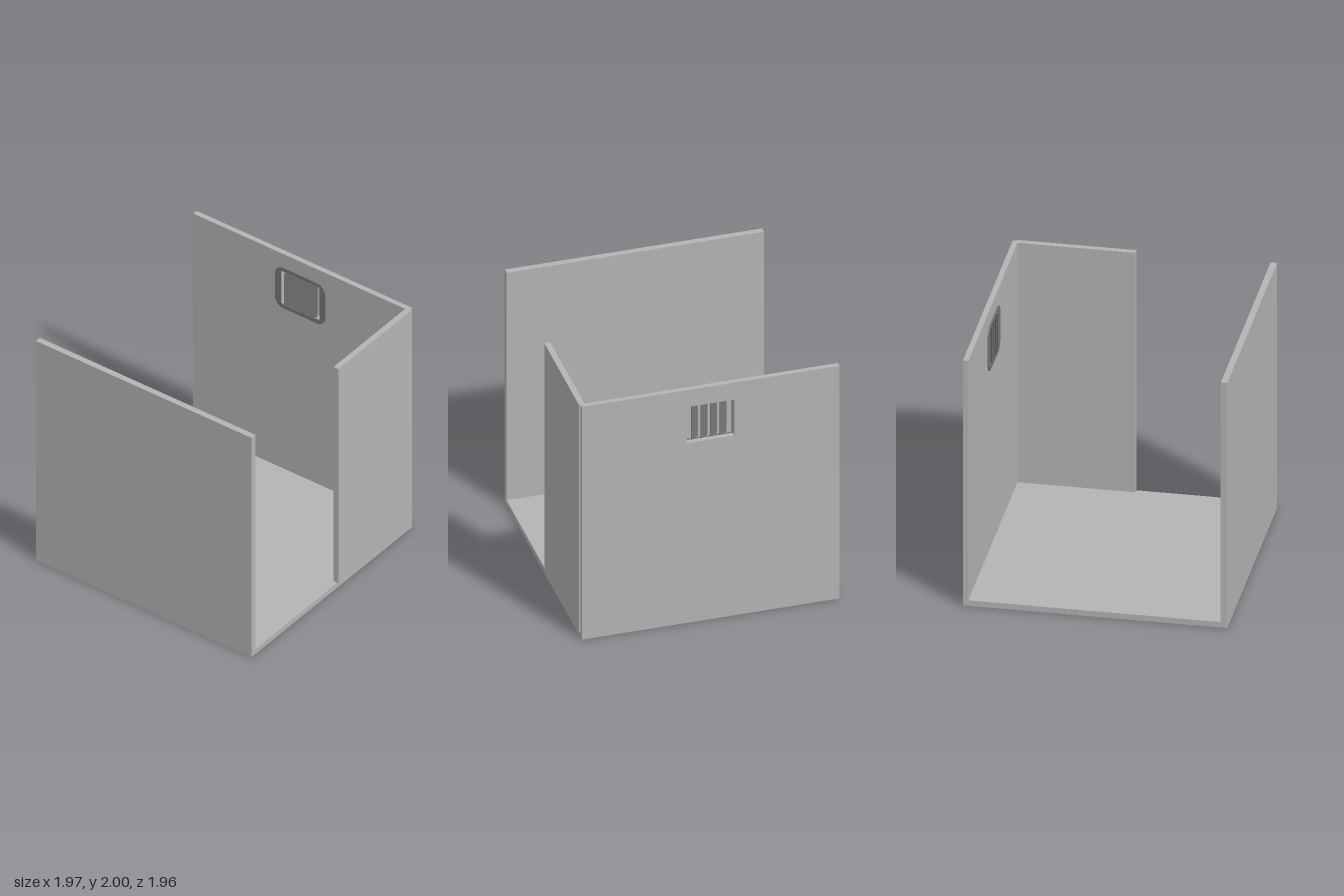
import * as THREE from 'three';

const wallMat = new THREE.MeshStandardMaterial({ color: 0xb4b4b4 });
wallMat.name = 'wall grey';
const ventMat = new THREE.MeshStandardMaterial({ color: 0x777777 });
ventMat.name = 'vent dark grey';

// Box given by its limits on each axis
function slab(name, [x0, x1], [y0, y1], [z0, z1], material) {
  const mesh = new THREE.Mesh(new THREE.BoxGeometry(x1 - x0, y1 - y0, z1 - z0), material);
  mesh.position.set((x0 + x1) / 2, (y0 + y1) / 2, (z0 + z1) / 2);
  mesh.name = name;
  return mesh;
}

// Rectangle outline, optionally with rounded corners
function rect(target, x0, x1, y0, y1, r = 0) {
  if (!r) {
    target.moveTo(x0, y0).lineTo(x1, y0).lineTo(x1, y1).lineTo(x0, y1).closePath();
    return target;
  }
  target.absarc(x1 - r, y0 + r, r, -Math.PI / 2, 0);
  target.absarc(x1 - r, y1 - r, r, 0, Math.PI / 2);
  target.absarc(x0 + r, y1 - r, r, Math.PI / 2, Math.PI);
  target.absarc(x0 + r, y0 + r, r, Math.PI, Math.PI * 1.5);
  target.closePath();
  return target;
}

// Upright panel with a hole, starting at depth z0
function panel(name, shape, hole, z0, depth, material) {
  shape.holes.push(hole);
  const geometry = new THREE.ExtrudeGeometry(shape, { depth, bevelEnabled: false, curveSegments: 8 });
  const mesh = new THREE.Mesh(geometry, material);
  mesh.position.z = z0;
  mesh.name = name;
  return mesh;
}

export function createModel() {
  const model = new THREE.Group();
  model.name = 'cell';
  const X = [-0.985, 0.97], t = 0.045;

  // Floor and solid walls
  model.add(slab('floor', X, [0, t], [-0.978, 0.978], wallMat));
  model.add(slab('frontWall', X, [t, 2], [0.93, 0.978], wallMat));
  model.add(slab('sideWall', [0.937, 0.982], [t, 2], [-0.945, -0.066], wallMat));

  // Back wall with the vent opening
  const hx0 = -0.188, hx1 = 0.172, hy0 = 1.545, hy1 = 1.855;
  model.add(panel('backWall', rect(new THREE.Shape(), ...X, t, 2),
    rect(new THREE.Path(), hx0, hx1, hy0, hy1), -0.978, 0.041, wallMat));

  // Vent: rounded frame with slanted upright louvres
  const vent = new THREE.Group();
  vent.name = 'vent';
  vent.add(panel('ventFrame', rect(new THREE.Shape(), -0.235, 0.217, 1.515, 1.88, 0.075),
    rect(new THREE.Path(), -0.183, 0.167, 1.55, 1.85), -0.937, 0.01, ventMat));
  for (let i = 0; i < 4; i++) {
    const louvre = new THREE.Mesh(new THREE.BoxGeometry(0.07, 0.3, 0.005), ventMat);
    louvre.position.set(-0.115 + i * 0.072, 1.7, -0.931);
    louvre.rotation.y = Math.PI / 6;
    louvre.name = 'louvre';
    vent.add(louvre);
  }
  model.add(vent);
  return model;
}
